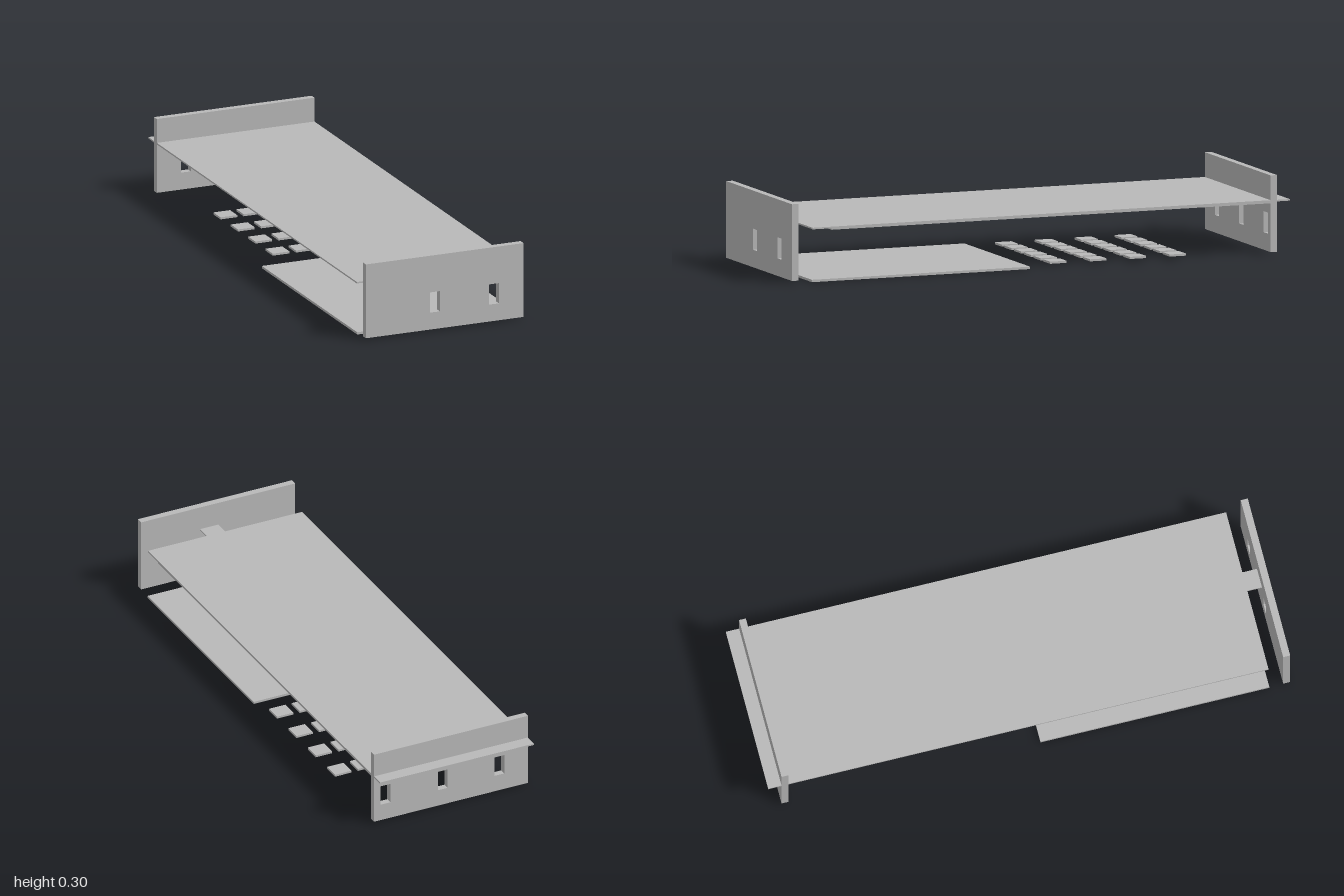
import * as THREE from 'three';

export function createModel() {
  const group = new THREE.Group();
  group.name = 'slottedTray';
  const grey = new THREE.MeshStandardMaterial({ color: 0xb8b8b8 });
  grey.name = 'plain grey';

  const add = (name, geometry) => {
    const mesh = new THREE.Mesh(geometry, grey);
    mesh.name = name;
    group.add(mesh);
    return mesh;
  };

  // Box given by its lower and upper corner
  const box = (name, [x0, y0, z0], [x1, y1, z1]) => {
    const mesh = add(name, new THREE.BoxGeometry(x1 - x0, y1 - y0, z1 - z0));
    mesh.position.set((x0 + x1) / 2, (y0 + y1) / 2, (z0 + z1) / 2);
  };

  const shapeFrom = (points) => new THREE.Shape(points.map(([x, y]) => new THREE.Vector2(x, y)));
  const rect = (x0, y0, x1, y1) => [[x0, y0], [x1, y0], [x1, y1], [x0, y1]];

  // Upright end panel with rectangular slots centred on the given x positions
  const panel = (name, z, depth, slots) => {
    const shape = shapeFrom(rect(-0.32, 0.009, 0.32, 0.297));
    for (const x of slots) shape.holes.push(shapeFrom(rect(x - 0.02, 0.075, x + 0.02, 0.154)));
    add(name, new THREE.ExtrudeGeometry(shape, { depth, bevelEnabled: false })).position.z = z;
  };
  panel('frontPanel', 0.973, 0.027, [-0.04, 0.2]);
  panel('backPanel', -0.949, 0.026, [0.272, 0.034, -0.202]);

  // Deck with a narrow tab reaching the front panel; shape y becomes -z
  const deckShape = shapeFrom([
    [-0.32, -0.917], [0, -0.917], [0, -0.973], [0.075, -0.973],
    [0.075, -0.917], [0.32, -0.917], [0.32, 0.923], [-0.32, 0.923],
  ]);
  const deckGeometry = new THREE.ExtrudeGeometry(deckShape, { depth: 0.006, bevelEnabled: false });
  deckGeometry.rotateX(-Math.PI / 2);
  add('deck', deckGeometry).position.y = 0.198;

  // Layer under the deck and ledge behind the back panel
  box('deckUnderlayer', [-0.23, 0.192, -0.923], [0.318, 0.198, 0.84]);
  box('backLedge', [-0.32, 0.198, -1], [0.32, 0.204, -0.949]);

  // Lower plate and the grid of small tiles behind it
  box('lowerPlate', [-0.32, 0, 0.043], [0.32, 0.009, 0.92]);
  for (let row = 0; row < 4; row++) {
    for (let column = 0; column < 6; column++) {
      const x = 0.267 - column * 0.094;
      const z = -0.078 - row * 0.16;
      box('tile', [x - 0.034, 0.012, z - 0.033], [x + 0.034, 0.02, z + 0.033]);
    }
  }
  return group;
}
